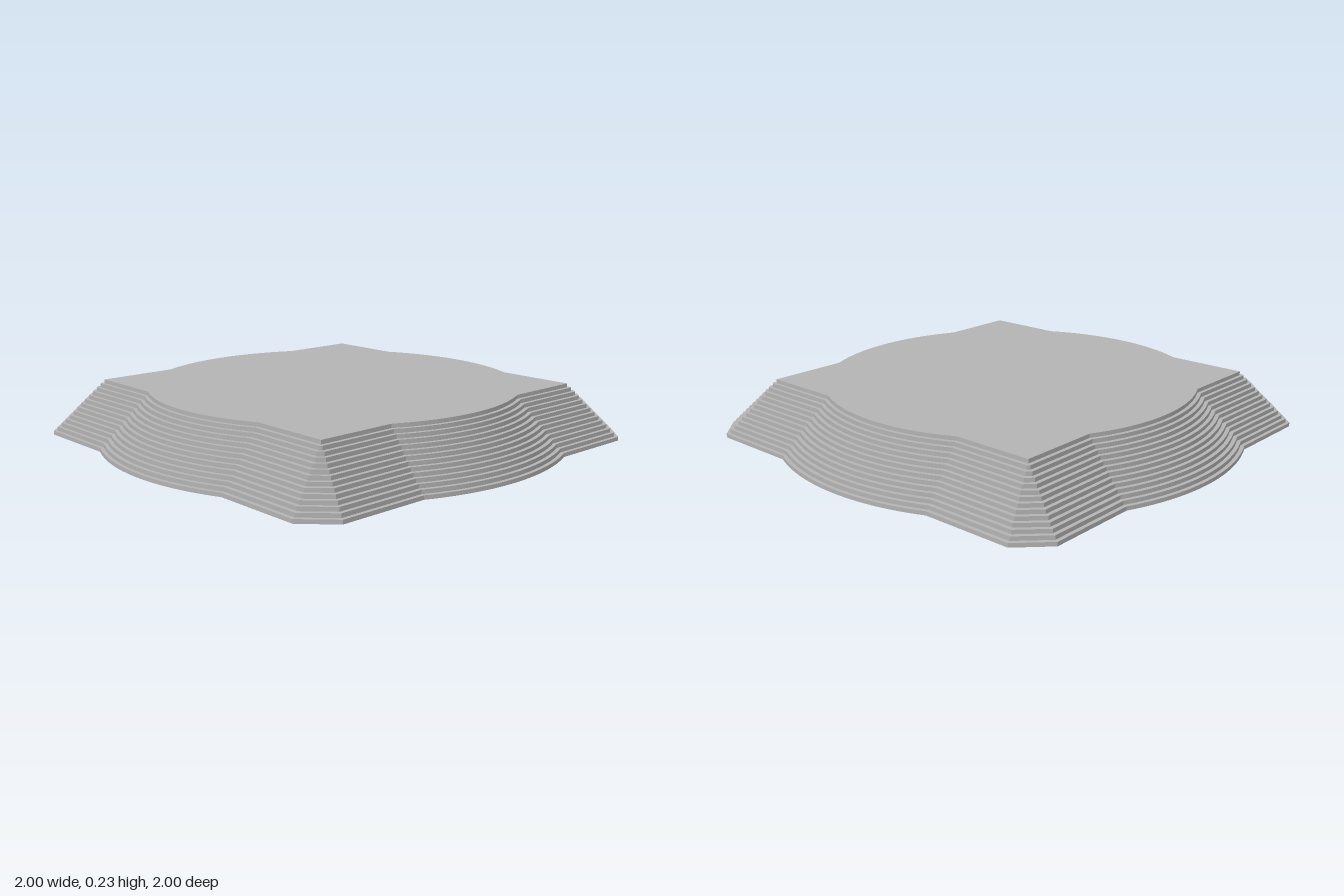
import * as THREE from 'three';

const LAYERS = 14;
const HEIGHT = 0.228;
const ARC_STEPS = 24;

// Outline: a square with cut corners joined with a circle that bulges past each side.
function outline(radius, half, cut) {
  const points = [];
  const bulge = Math.acos(half / radius);
  for (let side = 0; side < 4; side++) {
    const turn = (side * Math.PI) / 2;
    for (let i = 0; i <= ARC_STEPS; i++) {
      const a = turn - bulge + (2 * bulge * i) / ARC_STEPS;
      points.push(new THREE.Vector2(radius * Math.cos(a), radius * Math.sin(a)));
    }
    const corner = cut > 0.001 ? [[half, half - cut], [half - cut, half]] : [[half, half]];
    for (const [x, y] of corner) {
      points.push(new THREE.Vector2(x, y).rotateAround(new THREE.Vector2(), turn));
    }
  }
  return new THREE.Shape(points);
}

export function createModel() {
  const model = new THREE.Group();
  model.name = 'steppedPlatform';
  const stone = new THREE.MeshStandardMaterial({ color: 0xb3b3b3 });
  stone.name = 'grey stone';

  // Stacked slabs, each set in a little; the corner cuts fade to sharp corners at the top.
  const thickness = HEIGHT / LAYERS;
  for (let i = 0; i < LAYERS; i++) {
    const t = i / (LAYERS - 1);
    const shape = outline(1 - 0.207 * t, 0.912 - 0.207 * t, 0.116 * (1 - t));
    const geometry = new THREE.ExtrudeGeometry(shape, { depth: thickness, bevelEnabled: false });
    geometry.rotateX(-Math.PI / 2);
    const slab = new THREE.Mesh(geometry, stone);
    slab.name = i === LAYERS - 1 ? 'topSlab' : `step${i + 1}`;
    slab.position.y = i * thickness;
    model.add(slab);
  }
  return model;
}
